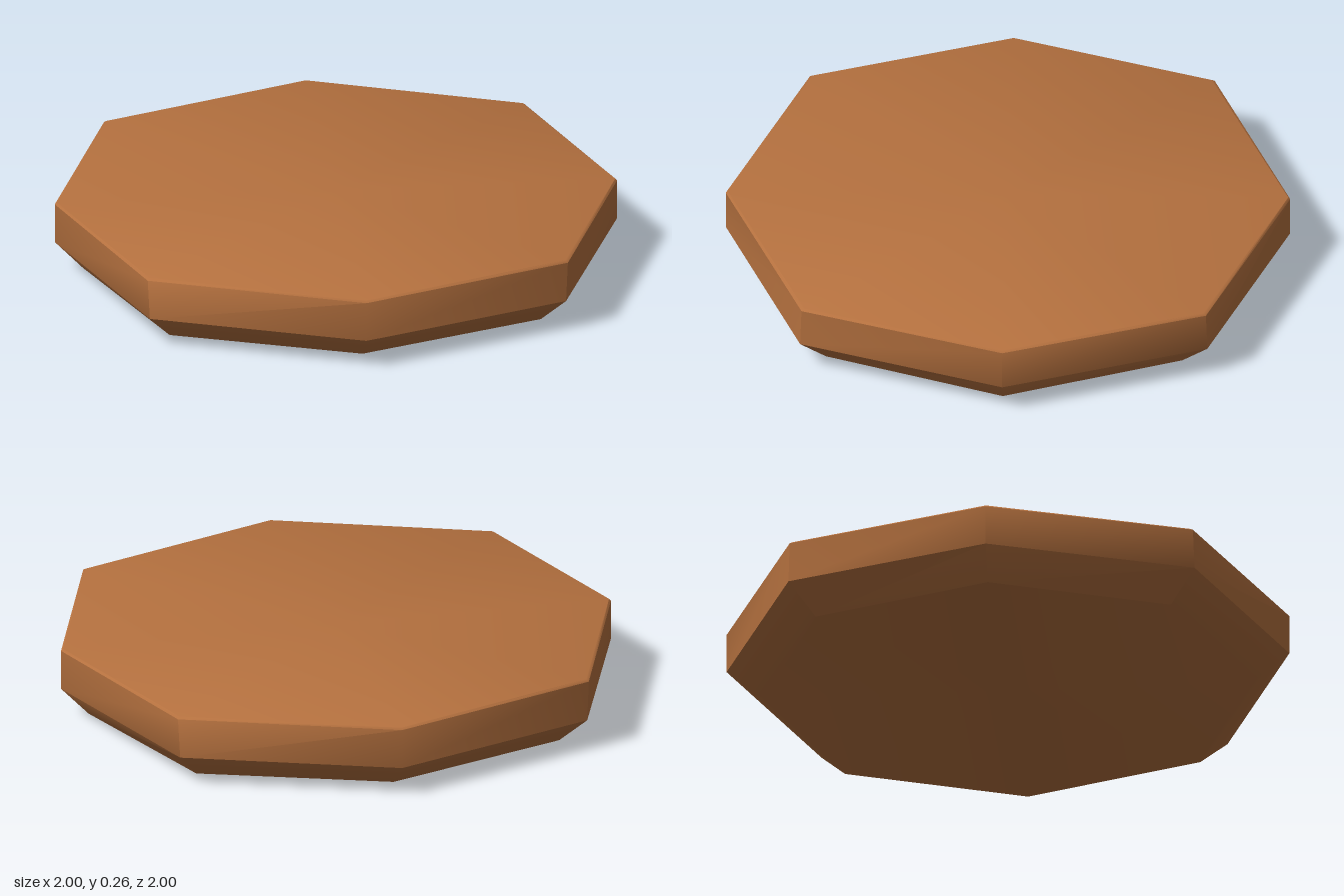
import * as THREE from 'three';
import { toCreasedNormals } from 'three/addons/utils/BufferGeometryUtils.js';

// Eight-sided ring: points on the axes at ax / az, diagonal corners at (dx, dz)
function ring(y, ax, az, dx, dz) {
  return [[0, az], [dx, dz], [ax, 0], [dx, -dz], [0, -az], [-dx, -dz], [-ax, 0], [-dx, dz]]
    .map(([x, z]) => new THREE.Vector3(x, y, z));
}

// Skin stacked rings (bottom to top) and close both ends with a fan
function loft(rings, bottomY, topY) {
  const pos = [];
  const tri = (...pts) => pts.forEach((p) => pos.push(p.x, p.y, p.z));
  const n = rings[0].length;
  const low = new THREE.Vector3(0, bottomY, 0);
  const high = new THREE.Vector3(0, topY, 0);
  const first = rings[0];
  const last = rings[rings.length - 1];
  for (let i = 0; i < n; i++) {
    const j = (i + 1) % n;
    for (let r = 0; r < rings.length - 1; r++) {
      const a = rings[r], b = rings[r + 1];
      tri(a[i], a[j], b[j]);
      tri(a[i], b[j], b[i]);
    }
    tri(low, first[j], first[i]);
    tri(high, last[i], last[j]);
  }
  const geo = new THREE.BufferGeometry();
  geo.setAttribute('position', new THREE.Float32BufferAttribute(pos, 3));
  return toCreasedNormals(geo, 0.75);
}

export function createModel() {
  const group = new THREE.Group();
  group.name = 'octagonalSlab';
  const clay = new THREE.MeshStandardMaterial({ color: 0xb5713f });
  clay.name = 'clay brown';

  // Slab: flat base, sloping underside, upright wall, flat top
  const slab = new THREE.Mesh(loft([
    ring(0.006, 0.9, 0.87, 0.66, 0.63),
    ring(0.11, 1, 0.998, 0.74, 0.72),
    ring(0.255, 1, 0.998, 0.747, 0.715),
    ring(0.262, 0.993, 0.991, 0.74, 0.706),
  ], 0, 0.262), clay);
  slab.name = 'slab';
  group.add(slab);
  return group;
}
